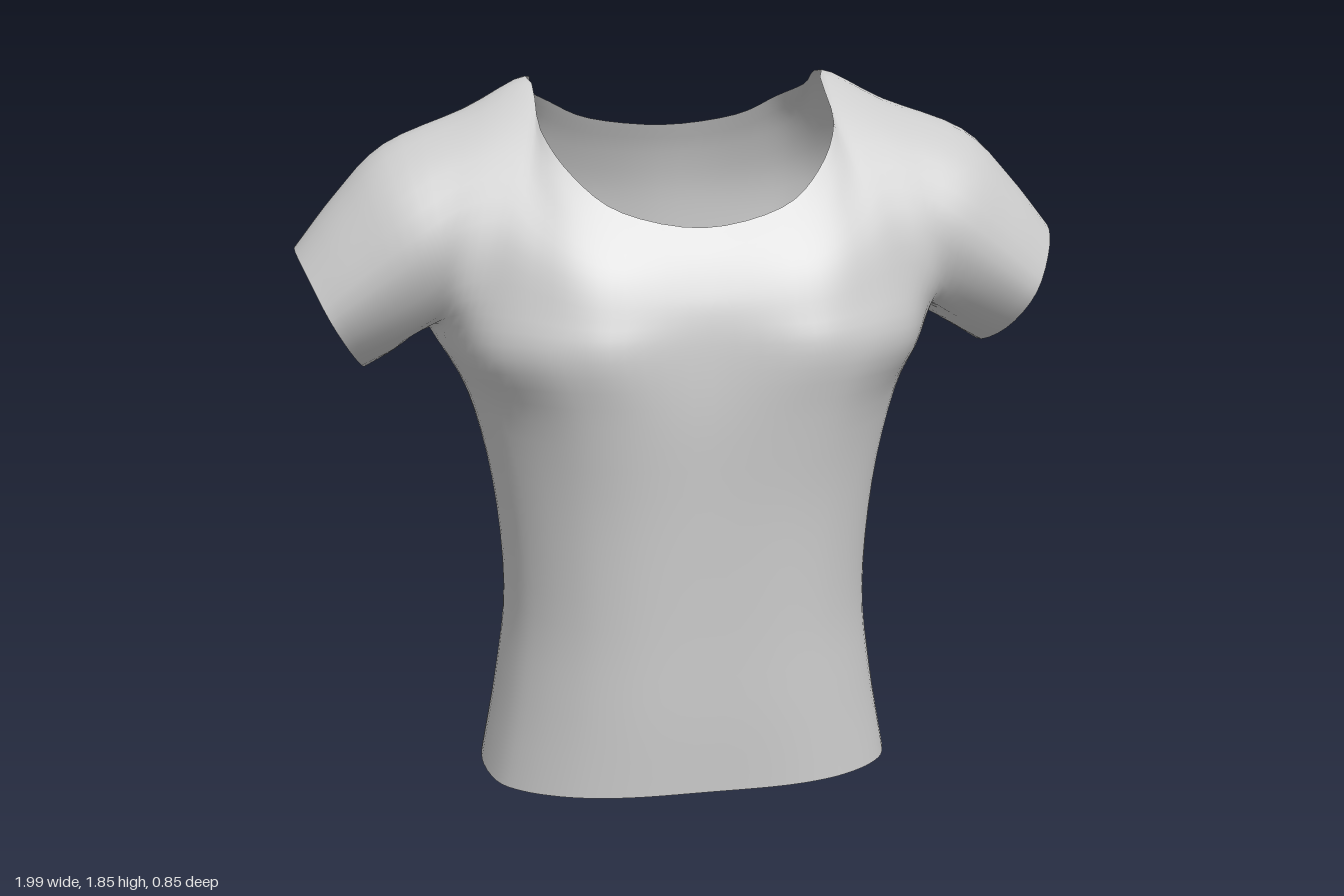
import * as THREE from 'three';

const V = (x, y, z) => new THREE.Vector3(x, y, z);
const STEP = 4;      // samples between key points
const SIDE = 6;      // column that runs up the side seam to the armpit
const TIP = 4;       // column that ends at the neck point of the shoulder
const LAST = 8;      // cuff column

// Torso rows: height, half width, front z, back z, side z, front swell, back swell
const TORSO = [
  [0.0, 0.56, 0.385, -0.42, -0.02, 0.01, 0.025],
  [0.25, 0.515, 0.39, -0.355, -0.02, 0.01, 0.01],
  [0.5, 0.487, 0.39, -0.295, -0.02, 0.01, 0.01],
  [0.8, 0.51, 0.397, -0.33, -0.03, 0.012, 0.015],
  [1.05, 0.57, 0.407, -0.365, -0.05, 0.028, 0.02],
];
const ACROSS = [0, 0.31, 0.52, 0.69, 0.85, 0.955, 1];

// Shared ends of the sleeve columns: shoulder line and underarm
const TOPS = { 4: [0.39, 1.85, -0.12], 5: [0.55, 1.775, -0.1], 6: [0.76, 1.695, -0.06], 7: [0.885, 1.575, -0.05], 8: [0.995, 1.44, -0.04] };
const UNDER = { 6: [0.66, 1.215, -0.06], 7: [0.75, 1.165, -0.07], 8: [0.83, 1.115, -0.08] };

// Chest, neckline and sleeve columns, each from underarm height upwards
const FRONT = [
  [[0, 1.22, 0.4], [0, 1.32, 0.385], [0, 1.39, 0.36], [0, 1.46, 0.325], [0, 1.52, 0.285]],
  [[0.22, 1.22, 0.428], [0.21, 1.32, 0.402], [0.21, 1.41, 0.365], [0.2, 1.49, 0.315], [0.2, 1.56, 0.265]],
  [[0.34, 1.22, 0.41], [0.33, 1.33, 0.385], [0.325, 1.44, 0.34], [0.32, 1.55, 0.265], [0.31, 1.64, 0.195]],
  [[0.45, 1.22, 0.36], [0.44, 1.35, 0.33], [0.42, 1.49, 0.28], [0.39, 1.63, 0.18], [0.375, 1.74, 0.08]],
  [[0.55, 1.21, 0.27], [0.53, 1.36, 0.27], [0.49, 1.54, 0.225], [0.43, 1.73, 0.07]],
  [[0.615, 1.205, 0.12], [0.61, 1.34, 0.22], [0.59, 1.52, 0.205], [0.57, 1.7, 0.07]],
  [[0.67, 1.27, 0.12], [0.69, 1.45, 0.195], [0.74, 1.62, 0.1]],
  [[0.765, 1.22, 0.09], [0.82, 1.36, 0.17], [0.86, 1.52, 0.09]],
  [[0.86, 1.18, 0.08], [0.915, 1.29, 0.15], [0.97, 1.4, 0.08]],
];
const BACK = [
  [[0, 1.22, -0.365], [0, 1.36, -0.365], [0, 1.5, -0.355], [0, 1.61, -0.33], [0, 1.69, -0.3]],
  [[0.2, 1.22, -0.395], [0.2, 1.36, -0.4], [0.2, 1.5, -0.39], [0.2, 1.62, -0.355], [0.2, 1.71, -0.315]],
  [[0.33, 1.22, -0.4], [0.33, 1.37, -0.42], [0.33, 1.52, -0.41], [0.325, 1.66, -0.36], [0.31, 1.76, -0.3]],
  [[0.44, 1.22, -0.37], [0.43, 1.38, -0.39], [0.41, 1.55, -0.39], [0.385, 1.71, -0.32], [0.37, 1.8, -0.23]],
  [[0.54, 1.21, -0.31], [0.52, 1.39, -0.345], [0.49, 1.58, -0.34], [0.43, 1.76, -0.25]],
  [[0.615, 1.205, -0.21], [0.61, 1.35, -0.29], [0.59, 1.53, -0.3], [0.57, 1.7, -0.22]],
  [[0.67, 1.27, -0.21], [0.69, 1.45, -0.27], [0.74, 1.62, -0.2]],
  [[0.765, 1.22, -0.19], [0.82, 1.36, -0.25], [0.86, 1.52, -0.18]],
  [[0.86, 1.18, -0.19], [0.915, 1.28, -0.235], [0.97, 1.4, -0.17]],
];

// Five upper key points of every column
function upperKeys(table) {
  return table.map((col, c) => [
    ...(UNDER[c] ? [UNDER[c]] : []), ...col, ...(TOPS[c] ? [TOPS[c]] : []),
  ].map((p) => V(...p)));
}

// Rounded torso cross-section with a swell beside the centre line
function torsoKeys(c, front) {
  const f = ACROSS[c];
  return TORSO.map(([y, w, zf, zb, zc, sf, sb], row) => {
    const swell = Math.sin(Math.PI * f) ** 2 * (front ? sf : -sb);
    const z = zc + ((front ? zf : zb) - zc) * Math.pow(1 - f ** 2.4, 1 / 2.4) + swell;
    const lift = row ? 0 : front ? 0.045 * (1 - f ** 3) : 0.03 * Math.sin(Math.PI * f) ** 2;
    return V(w * f, y + lift, z);
  });
}

// Smooth samples through keys; before/after are optional guide points
function sample(keys, before, after) {
  const pts = [...(before ? [before] : []), ...keys, ...(after ? [after] : [])];
  const curve = new THREE.CatmullRomCurve3(pts, false, 'catmullrom', 0.5);
  const start = before ? 1 : 0, out = [];
  for (let i = 0; i <= (keys.length - 1) * STEP; i++) {
    out.push(curve.getPoint((start + i / STEP) / (pts.length - 1)));
  }
  return out;
}

// Vertical columns of one side (front or back)
function columns(front, own, other) {
  return own.map((up, c) => {
    const after = c >= TIP ? other[c][3] : null;
    if (c > SIDE) return sample(up, other[c][1], after);
    return sample([...torsoKeys(c, front), ...up], null, after);
  });
}

const mirrored = (p) => V(-p.x, p.y, p.z);
const ARM_ROW = TORSO.length * STEP;   // sample row at underarm height

// Cross rows: torso rows stop at the side seam, upper rows reach the cuff
function rows(own, other) {
  return own[0].map((_, r) => {
    const line = own.slice(0, SIDE + 1).map((col) => col[r]);
    if (r < ARM_ROW) return sample(line, mirrored(line[1]), other[SIDE - 1][r]);
    const sleeve = own.slice(SIDE + 1).map((col) => col[r - ARM_ROW]);
    return sample([...line, ...sleeve], mirrored(line[1]), null);
  });
}

export function createModel() {
  const group = new THREE.Group();
  group.name = 'shirt';
  const cloth = new THREE.MeshStandardMaterial({ color: 0xcccccc, side: THREE.DoubleSide });
  cloth.name = 'light grey cloth';

  const fk = upperKeys(FRONT), bk = upperKeys(BACK);
  const fc = columns(true, fk, bk), bc = columns(false, bk, fk);
  const front = rows(fc, bc), back = rows(bc, fc);

  // Close the seams: body sides, underarms and shoulder lines
  const weld = (r, c) => {
    const mid = front[r][c].clone().add(back[r][c]).multiplyScalar(0.5);
    front[r][c].copy(mid);
    back[r][c].copy(mid);
  };
  for (let r = 0; r < ARM_ROW; r++) weld(r, SIDE * STEP);
  for (let c = SIDE * STEP; c <= LAST * STEP; c++) weld(ARM_ROW, c);
  for (let c = TIP * STEP; c <= LAST * STEP; c++) weld(front.length - 1, c);

  // Shared vertices keep the shading smooth across all parts
  const positions = [], lookup = new Map();
  const vertex = (p, s) => {
    const xyz = [p.x * s, p.y, p.z];
    const key = xyz.map((n) => Math.round(n * 1e5)).join();
    if (!lookup.has(key)) {
      lookup.set(key, positions.length / 3);
      positions.push(...xyz);
    }
    return lookup.get(key);
  };
  const faces = { body: [], leftSleeve: [], rightSleeve: [] };
  for (const s of [1, -1]) {
    for (const [grid, facing] of [[front, 1], [back, -1]]) {
      for (let r = 0; r < grid.length - 1; r++) {
        const n = Math.min(grid[r].length, grid[r + 1].length) - 1;
        for (let c = 0; c < n; c++) {
          const part = c < SIDE * STEP ? 'body' : s > 0 ? 'leftSleeve' : 'rightSleeve';
          const q = [grid[r][c], grid[r][c + 1], grid[r + 1][c + 1], grid[r + 1][c]].map((p) => vertex(p, s));
          if (s * facing < 0) q.reverse();
          faces[part].push(q[0], q[1], q[2], q[0], q[2], q[3]);
        }
      }
    }
  }

  const whole = new THREE.BufferGeometry();
  whole.setAttribute('position', new THREE.Float32BufferAttribute(positions, 3));
  whole.setIndex(Object.values(faces).flat());
  whole.computeVertexNormals();
  for (const [name, index] of Object.entries(faces)) {
    const geometry = new THREE.BufferGeometry();
    geometry.setAttribute('position', whole.attributes.position);
    geometry.setAttribute('normal', whole.attributes.normal);
    geometry.setIndex(index);
    const mesh = new THREE.Mesh(geometry, cloth);
    mesh.name = name;
    group.add(mesh);
  }
  return group;
}
